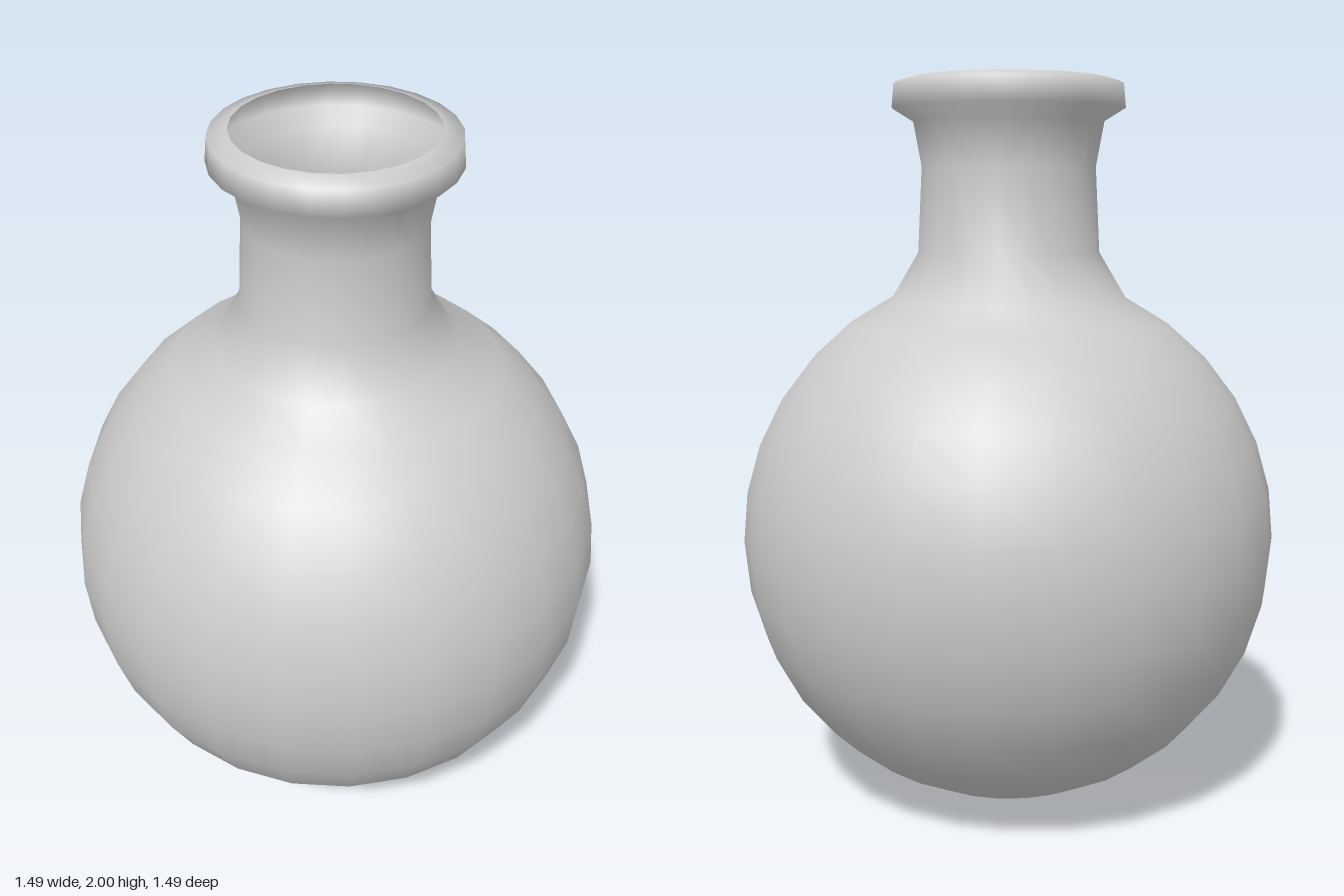
import * as THREE from 'three';

// Round-bottomed flask: one thin, open shell of revolution
export function createModel() {
  const group = new THREE.Group();
  const glass = new THREE.MeshStandardMaterial({ color: 0xcccccc, side: THREE.DoubleSide });
  glass.name = 'flask grey';

  const R = 0.743;
  const profile = [];
  const bowl = (angle) => profile.push(new THREE.Vector2(
    R * Math.sin(angle), R - R * Math.cos(angle)));

  // spherical bowl: bottom pole to equator, then up to the shoulder
  for (let i = 0; i <= 8; i++) bowl((i / 8) * Math.PI / 2);
  const shoulder = THREE.MathUtils.degToRad(154.2);
  for (let i = 1; i <= 6; i++) bowl(THREE.MathUtils.lerp(Math.PI / 2, shoulder, i / 6));
  profile[0].x = 0;

  // waisted neck and rolled lip
  const neckAndLip = [
    [0.25, 1.535], [0.238, 1.765], [0.26, 1.885],
    [0.317, 1.92], [0.311, 1.985], [0.26, 2.0],
  ];
  neckAndLip.forEach(([r, y]) => profile.push(new THREE.Vector2(r, y)));

  const flask = new THREE.Mesh(new THREE.LatheGeometry(profile, 24), glass);
  flask.name = 'flask';
  group.add(flask);
  return group;
}
